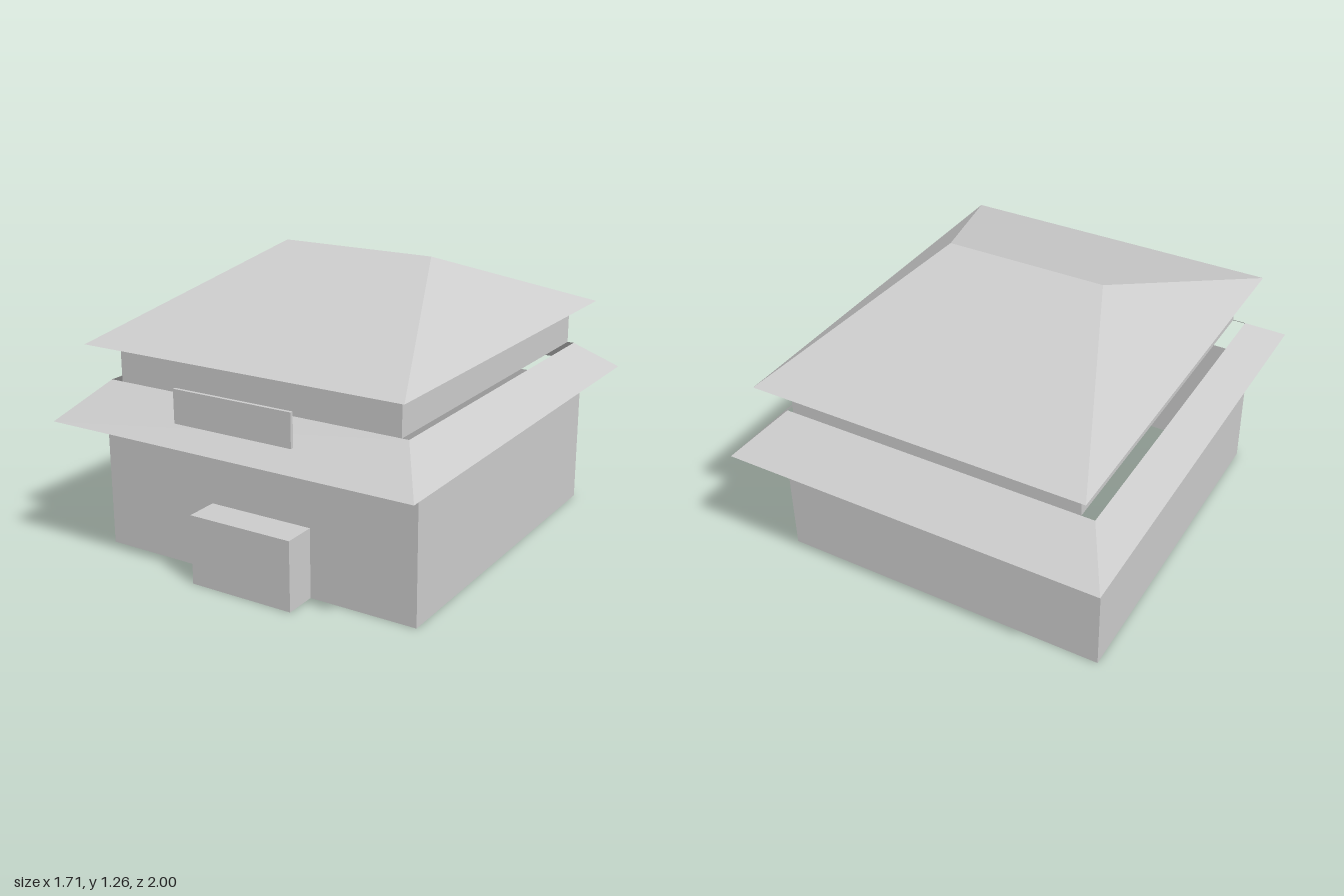
import * as THREE from 'three';

const plaster = new THREE.MeshStandardMaterial({ color: 0xcccccc, side: THREE.DoubleSide });
plaster.name = 'plainGrey';

// Corners of a level rectangle, counter-clockwise seen from above
const rect = (x0, x1, z0, z1, y) => [
  [x0, y, z1], [x1, y, z1], [x1, y, z0], [x0, y, z0],
].map((p) => new THREE.Vector3(...p));

// Flat-shaded band of four faces between two rectangles, with optional lids
function shell(name, low, high, { top = false, bottom = false } = {}) {
  const points = [];
  const triangle = (a, b, c) => {
    if (a.distanceTo(b) > 0 && b.distanceTo(c) > 0 && c.distanceTo(a) > 0) points.push(a, b, c);
  };
  const quad = (a, b, c, d) => {
    triangle(a, b, c);
    triangle(a, c, d);
  };
  for (let i = 0; i < 4; i++) {
    const j = (i + 1) % 4;
    quad(low[i], low[j], high[j], high[i]);
  }
  if (top) quad(...high);
  if (bottom) quad(low[3], low[2], low[1], low[0]);
  const geometry = new THREE.BufferGeometry().setFromPoints(points);
  geometry.computeVertexNormals();
  const mesh = new THREE.Mesh(geometry, plaster);
  mesh.name = name;
  return mesh;
}

// Upright walls over a rectangle
const walls = (name, x0, x1, z0, z1, y0, y1, lids) =>
  shell(name, rect(x0, x1, z0, z1, y0), rect(x0, x1, z0, z1, y1), lids);

export function createModel() {
  const model = new THREE.Group();
  model.name = 'twoTierHall';
  model.add(
    // Lower storey, open above and below
    walls('lowerWalls', -0.76, 0.753, -0.78, 0.78, 0, 0.587),
    // Entrance block, open underneath
    walls('entrancePorch', -0.21, 0.27, 0.78, 0.925, 0, 0.303, { top: true }),
    // Sloping skirt roof, an open ring
    shell('skirtRoof',
      rect(-0.857, 0.855, -1, 1, 0.607),
      rect(-0.723, 0.71, -0.78, 0.78, 0.754)),
    // Upper storey band
    walls('upperWalls', -0.665, 0.68, -0.78, 0.78, 0.754, 0.915),
    // Sign board above the entrance
    walls('signBoard', -0.284, 0.276, 0.895, 0.91, 0.675, 0.82, { top: true, bottom: true }),
    // Hipped roof with a flat underside, ridge running along x
    shell('hippedRoof',
      rect(-0.743, 0.76, -0.908, 0.908, 0.934),
      rect(-0.355, 0.37, 0, 0, 1.26), { bottom: true }),
  );
  return model;
}
